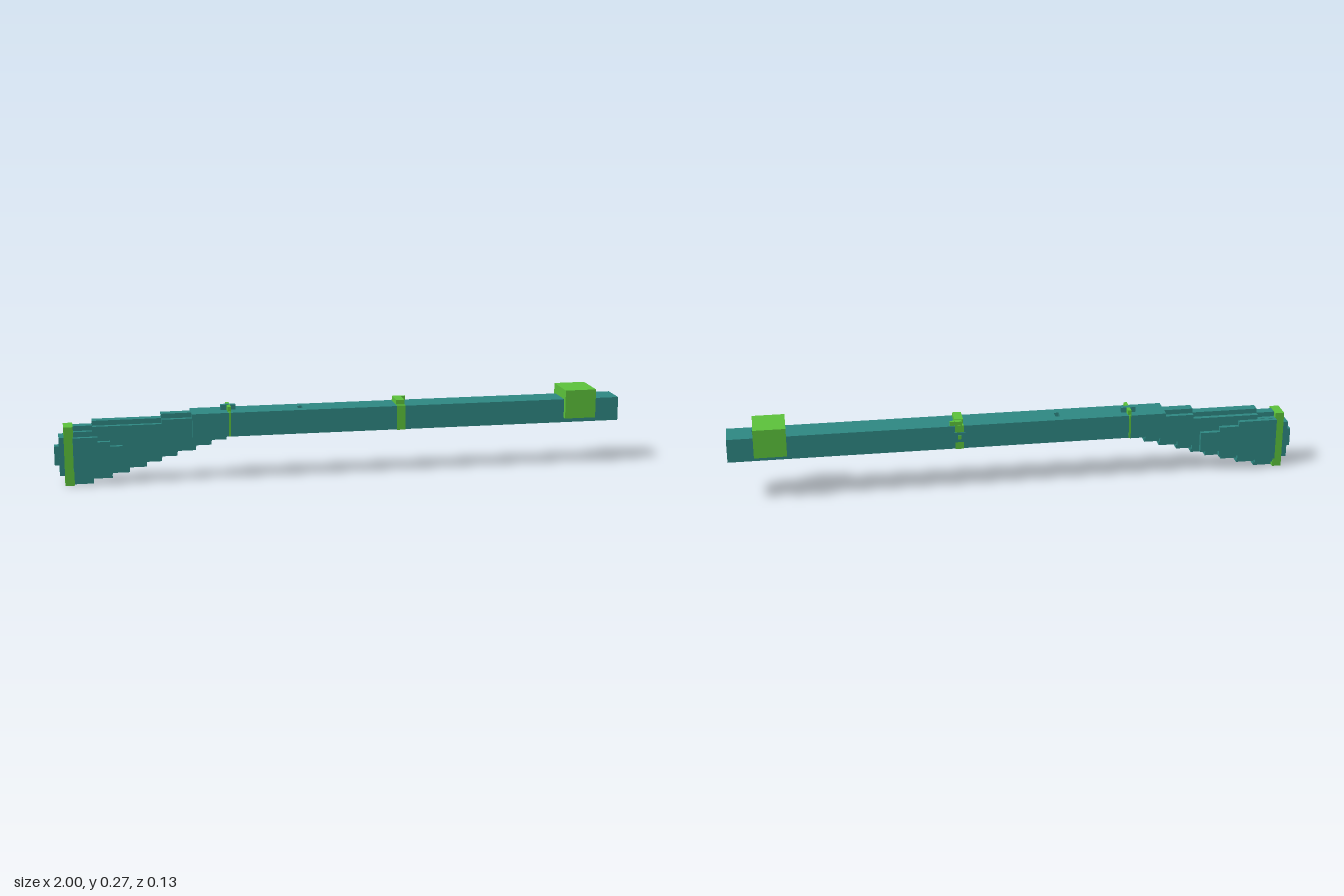
import * as THREE from 'three';

const U = 0.017; // grid step
const teal = new THREE.MeshStandardMaterial({ color: 0x2e8883 });
teal.name = 'teal';
const green = new THREE.MeshStandardMaterial({ color: 0x5cc23b });
green.name = 'green';

export function createModel() {
  const model = new THREE.Group();
  model.name = 'longGun';

  const add = (name, geometry, material) => {
    const mesh = new THREE.Mesh(geometry, material);
    mesh.name = name;
    model.add(mesh);
    return mesh;
  };
  // box given by its limits on each axis
  const box = (name, material, x0, x1, y0, y1, z0, z1) => {
    const mesh = add(name, new THREE.BoxGeometry(x1 - x0, y1 - y0, z1 - z0), material);
    mesh.position.set((x0 + x1) / 2, (y0 + y1) / 2, (z0 + z1) / 2);
  };
  const rectPoints = (a0, a1, b0, b1) =>
    [[a0, b0], [a1, b0], [a1, b1], [a0, b1]].map(p => new THREE.Vector2(...p));
  const framed = (outer, hole, depth) => {
    const shape = new THREE.Shape(rectPoints(...outer));
    shape.holes.push(new THREE.Path(rectPoints(...hole).reverse()));
    return new THREE.ExtrudeGeometry(shape, { depth, bevelEnabled: false });
  };
  // stair-stepped slab: columns of [x0, x1, bottom, top], extruded along z
  const steppedSlab = (name, columns, z0, z1) => {
    const lower = columns.flatMap(([a, b, y]) => [[a, y], [b, y]]);
    const upper = columns.flatMap(([a, b, , y]) => [[a, y], [b, y]]).reverse();
    const shape = new THREE.Shape([...lower, ...upper].map(p => new THREE.Vector2(...p)));
    const g = new THREE.ExtrudeGeometry(shape, { depth: z1 - z0, bevelEnabled: false });
    add(name, g.translate(0, 0, z0), teal);
  };

  // barrel with a vertical slot, and a hollow muzzle end
  const barrel = framed([-0.53, 0.965, -0.05, 0.05], [-0.157, -0.14, -U, U], 0.084);
  add('barrel', barrel.rotateX(-Math.PI / 2).translate(0, 0.153, 0), teal);
  const muzzle = framed([-0.05, 0.05, 0.153, 0.237], [-U, 2 * U, 0.204, 0.221], 0.035);
  add('muzzle', muzzle.rotateY(Math.PI / 2).translate(0.965, 0, 0), teal);

  // block saddled on the front of the barrel
  box('muzzleBlock', green, 0.798, 0.91, 0.17, 0.272, -0.067, 0.067);
  box('blockMark', teal, 0.908, 0.912, 0.237, 0.255, -U, 0);

  // middle band and its raised sight
  box('middleBand', green, 0.188, 0.218, 0.1515, 0.2385, -0.0515, 0.0515);
  box('middleSight', green, 0.188, 0.218, 0.237, 0.255, -0.034, 0.034);
  box('sightHook', green, 0.215, 0.236, 0.238, 0.253, -0.047, -0.037);
  box('hookArm', green, 0.194, 0.218, 0.238, 0.253, -0.05, -0.034);
  box('bandPlate', teal, 0.183, 0.223, 0.178, 0.214, -0.054, -0.05);
  box('bandPin', green, 0.197, 0.209, 0.19, 0.203, -0.057, -0.05);

  // rear band and cross-shaped sight
  box('rearBand', green, -0.404, -0.397, 0.153, 0.2385, -0.0512, 0.0512);
  box('rearSightBar', teal, -0.427, -0.375, 0.237, 0.255, -U, 0);
  box('rearSightCross', green, -0.406, -0.394, 0.237, 0.2545, -0.045, 0.034);

  // stock: the narrow core climbs one step at each break along the underside
  const breaks = [-0.965, -0.87, -0.805, -0.746, -0.687, -0.634, -0.58, -0.516, -0.4625, -0.41];
  const topAt = x => (x < -0.84 ? 0.205 : x < -0.62 ? 0.221 : 0.236);
  const columns = [];
  for (let i = 0; i < 9; i++) {
    columns.push([breaks[i], breaks[i + 1], i * U, topAt((breaks[i] + breaks[i + 1]) / 2)]);
  }
  steppedSlab('stockCore', columns, -U, U);
  const inset = columns.slice(0, 8).map(([a, b, y0, y1]) => [a, b, y0 + U, y1 - U]);
  steppedSlab('stockBody', inset, -2 * U, 2 * U);

  // raised cheeks, tapering forward, longer on the far side
  const cheek = (name, x0, x1, y0, y1, z0, z1) => {
    const steps = 4, cols = [];
    for (let i = 0; i < steps; i++) {
      const a = x0 + (x1 - x0) * (i ? 0.25 + 0.25 * i : 0);
      const b = x0 + (x1 - x0) * (0.5 + 0.25 * i);
      if (b <= x1 + 1e-6) cols.push([a, b, y0 + i * U * 1.3, y1 - i * U]);
    }
    steppedSlab(name, cols, z0, z1);
  };
  cheek('leftCheek', -0.937, -0.77, 0.052, 0.17, 2 * U - 0.001, 0.05);
  cheek('rightCheek', -0.937, -0.66, 0.036, 0.187, -0.05, -2 * U + 0.001);

  // butt band and stepped end plates
  box('buttBand', green, -0.967, -0.935, 0, 0.206, -0.035, 0.035);
  box('buttBandUnderside', teal, -0.935, -0.87, 0, U, -U, U);
  box('buttPlate', teal, -0.984, -0.966, 0.036, 0.17, -2 * U, 2 * U);
  box('buttCap', teal, -1, -0.983, 0.07, 0.136, -U, U);

  return model;
}
